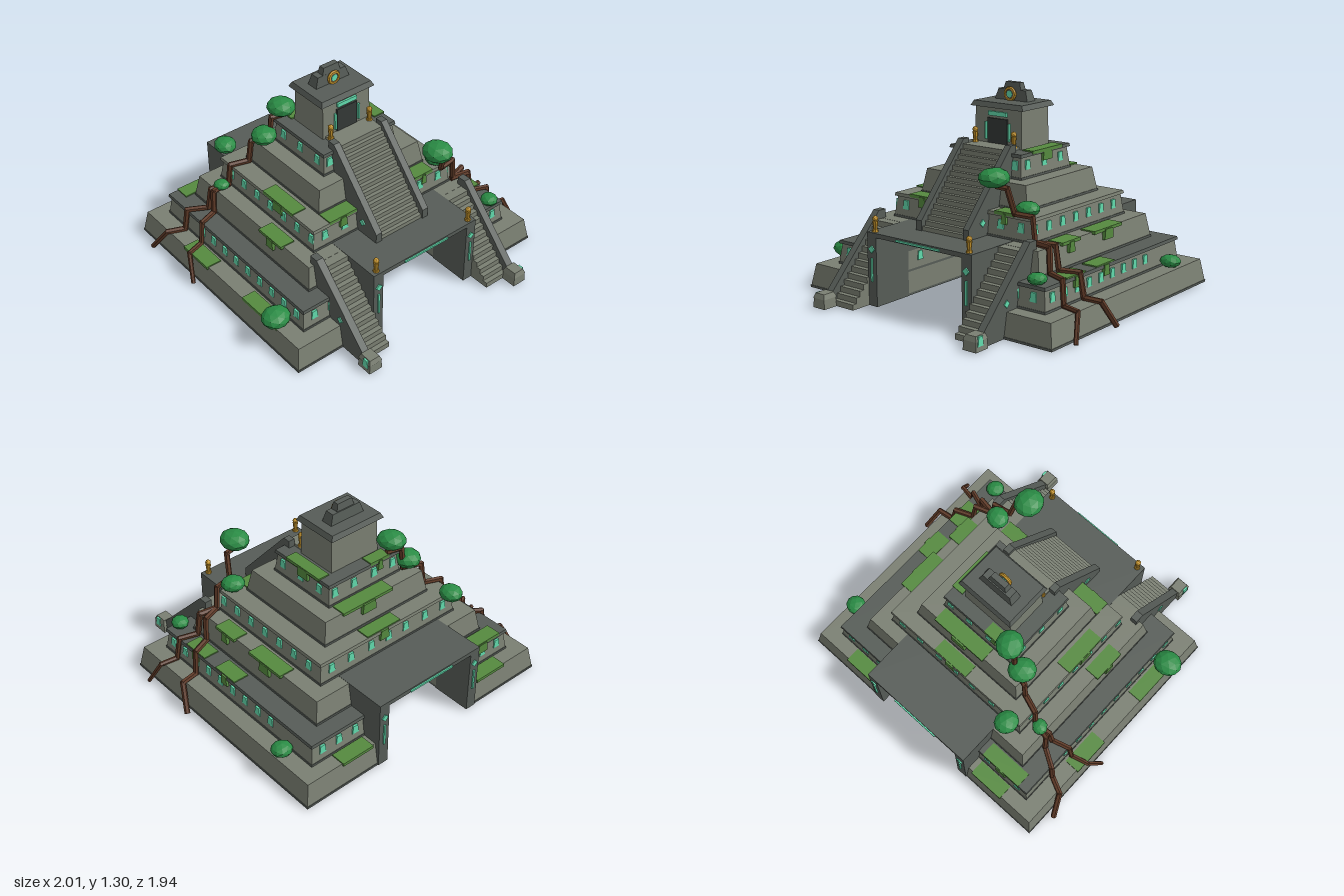
import * as THREE from 'three';

const mat = (color, o = {}) => new THREE.MeshStandardMaterial({ color, flatShading: true, ...o });
const stone = mat(0x7a7f72), dark = mat(0x565c57), black = mat(0x343937), teal = mat(0x62dcae),
  moss = mat(0x558a3f), leaf = mat(0x2a8c45), bark = mat(0x5f3a27), gold = mat(0xc8962c);

export function createModel() {
  const root = new THREE.Group();
  const group = (name, parent = root) => {
    const g = new THREE.Group();
    g.name = name;
    parent.add(g);
    return g;
  };
  const add = (name, geo, m, parent = root) => {
    const mesh = new THREE.Mesh(geo, m);
    mesh.name = name;
    parent.add(mesh);
    return mesh;
  };
  // Block given by its limits; the top edges move in by tx and tz (xIn = inset of the low-x side)
  const block = (name, x0, x1, y0, y1, z0, z1, m, parent, tx = 0, tz = tx, xIn = tx) => {
    const g = new THREE.BoxGeometry(1, 1, 1), p = g.attributes.position;
    for (let i = 0; i < p.count; i++) {
      const t = p.getY(i) > 0 ? 1 : 0;
      p.setXYZ(i, p.getX(i) > 0 ? x1 - tx * t : x0 + xIn * t, t ? y1 : y0,
        p.getZ(i) > 0 ? z1 - tz * t : z0 + tz * t);
    }
    g.computeVertexNormals();
    return add(name, g, m, parent);
  };
  const mirrored = (fn) => [1, -1].forEach((s) => fn(s));
  const span = (s, a, b) => (s > 0 ? [a, b] : [-b, -a]);

  // Tiers: [half width, back z, front z]; the lower three are split by the passage
  const H = 0.152, GAP = 0.337;
  const tiers = [[0.945, -0.96, 0.7], [0.81, -0.84, 0.58], [0.675, -0.725, 0.46],
    [0.545, -0.61, 0.345], [0.415, -0.5, 0.235], [0.285, -0.385, 0.12]];
  const layer = (name, w, y0, y1, z0, z1, m, t, split, parent) => {
    if (!split) return block(name, -w, w, y0, y1, z0, z1, m, parent, t);
    mirrored((s) => s > 0 ? block(name, GAP, w, y0, y1, z0, z1, m, parent, t, t, 0)
      : block(name, -w, -GAP, y0, y1, z0, z1, m, parent, 0, t, t));
  };
  tiers.forEach(([w, z0, z1], i) => {
    const g = group('tier' + (i + 1)), y = i * H, split = i < 3, win = i % 2;
    const t = win ? 0.016 : 0.024;
    layer('plinth', w, y, y + 0.014, z0, z1, dark, 0, split, g);
    layer('wall', w - 0.004, y + 0.014, y + H - (win ? 0.02 : 0), z0 + 0.004, z1 - 0.004, stone, t, split, g);
    if (win) layer('cornice', w - 0.004, y + H - 0.02, y + H, z0 + 0.004, z1 - 0.004, i === 3 ? stone : dark, 0.004, split, g);
  });

  // Glowing windows on every second tier
  const windows = group('windows');
  const pane = (x, y, z, alongZ) => {
    const a = alongZ ? 0.007 : 0.024, b = alongZ ? 0.024 : 0.007;
    block('window', x - a, x + a, y - 0.028, y + 0.028, z - b, z + b, teal, windows,
      alongZ ? 0 : 0.007, alongZ ? 0.007 : 0);
  };
  const rows = [[1, 9, 0.5, -0.12, [0.47, 0.595, 0.72]], [3, 7, 0.31, -0.134, [0, 0.14, 0.3, 0.45]],
    [5, 3, 0.045, -0.165, [0.08, 0.23]]];
  rows.forEach(([i, n, start, step, xs]) => {
    const [w, z0, z1] = tiers[i], y = i * H + 0.083;
    mirrored((s) => {
      for (let k = 0; k < n; k++) pane(s * (w - 0.012), y, start + k * step, true);
      xs.forEach((x) => {
        pane(s * x, y, z0 + 0.012, false);
        if (x > 0.2) pane(s * x, y, z1 - 0.012, false);
      });
    });
  });
  mirrored((s) => [-0.5, -0.22, 0.06, 0.34].forEach((z) => pane(s * GAP, 0.24, z, true)));

  // Passage: piers at both ends and the slab over it
  const gate = group('gateway');
  block('ceilingSlab', -0.405, 0.405, 0.43, 0.458, -0.965, 0.73, dark, gate);
  const diamond = (x, y, z, side) => {
    const d = add('diamond', new THREE.BoxGeometry(0.034, 0.034, 0.012), teal, gate);
    d.position.set(x, y, z);
    d.rotation.order = 'YXZ';
    d.rotation.set(0, side ? Math.PI / 2 : 0, Math.PI / 4);
  };
  mirrored((s) => {
    const [a, b] = span(s, 0.333, 0.405), [c, d] = span(s, 0.362, 0.375);
    block('frontPier', a, b, 0, 0.44, 0.45, 0.73, dark, gate);
    block('backPier', a, b, 0, 0.44, -0.965, -0.7, dark, gate);
    [0.732, -0.967].forEach((z) => {
      block('lightBar', c, d, 0.155, 0.3, z - 0.007, z + 0.007, teal, gate);
      diamond(s * 0.368, 0.355, z);
    });
    diamond(s * 0.612, 0.2, 0.675, true);
    diamond(s * 0.207, 0.54, 0.39, true);
  });
  [0.732, -0.967].forEach((z) => block('lintelLight', -0.17, 0.17, 0.436, 0.448, z - 0.007, z + 0.007, teal, gate));

  // Stairs and sloping side walls
  const stairs = (name, x0, x1, y0, y1, zTop, zBottom, n, parent) => {
    for (let i = 0; i < n; i++) {
      block(name, x0, x1, y0, y0 + (y1 - y0) * (i + 1) / n, zTop - 0.06,
        zBottom - (zBottom - zTop) * i / n, stone, parent);
    }
  };
  // Profile points are [z, y], extruded along x
  const slopeWall = (name, x0, x1, pts, parent) => {
    const g = new THREE.ExtrudeGeometry(new THREE.Shape(pts.map(([z, y]) => new THREE.Vector2(-z, y))),
      { depth: x1 - x0, bevelEnabled: false });
    add(name, g.rotateY(Math.PI / 2).translate(x0, 0, 0), dark, parent);
  };
  const sideStairs = group('sideStairs'), mainStairs = group('mainStairs');
  mirrored((s) => {
    const [a, b] = span(s, 0.4, 0.567), [c, d] = span(s, 0.565, 0.612), [e, f] = span(s, 0.54, 0.635);
    stairs('sideStep', a, b, 0, 0.455, 0.46, 0.87, 13, sideStairs);
    slopeWall('sideBalustrade', c, d, [[0.4, 0], [0.9, 0], [0.9, 0.06], [0.46, 0.51], [0.4, 0.51]], sideStairs);
    block('pedestal', e, f, 0, 0.06, 0.865, 0.97, stone, sideStairs, 0.004);
    block('pedestalCap', e, f, 0.06, 0.09, 0.865, 0.97, stone, sideStairs, 0.012);
    pane(s * 0.63, 0.058, 0.93, true);
    const [h, k] = span(s, 0.162, 0.206);
    slopeWall('mainBalustrade', h, k, [[0.06, 0.455], [0.515, 0.455], [0.515, 0.52], [0.12, 0.96], [0.07, 0.96]], mainStairs);
  });
  stairs('mainStep', -0.165, 0.165, 0.455, 0.93, 0.1, 0.505, 16, mainStairs);
  block('landing', -0.165, 0.165, 0.9, 0.93, -0.01, 0.1, stone, mainStairs);

  // Temple with roof crest and sun disc
  const temple = group('temple');
  block('templeWall', -0.183, 0.183, 0.91, 1.15, -0.29, -0.012, stone, temple, 0.006);
  block('doorway', -0.077, 0.077, 0.92, 1.085, -0.03, -0.006, black, temple);
  block('doorLight', -0.072, 0.072, 1.1, 1.127, -0.03, -0.004, teal, temple);
  mirrored((s) => {
    const [a, b] = span(s, 0.084, 0.096);
    block('doorJambLight', a, b, 0.95, 1.06, -0.03, -0.002, teal, temple);
  });
  block('roof', -0.203, 0.203, 1.15, 1.182, -0.317, 0.005, dark, temple, 0.016);
  block('crestBase', -0.127, 0.127, 1.18, 1.248, -0.222, -0.142, dark, temple, 0.022, 0.01);
  block('crestTop', -0.067, 0.067, 1.245, 1.293, -0.205, -0.152, dark, temple, 0.012, 0.008);
  add('discRing', new THREE.TorusGeometry(0.036, 0.011, 6, 16), gold, temple).position.set(0, 1.222, -0.133);
  const disc = add('disc', new THREE.CylinderGeometry(0.034, 0.034, 0.014, 16), dark, temple);
  const gem = add('discGem', new THREE.CylinderGeometry(0.021, 0.021, 0.02, 12), teal, temple);
  [disc, gem].forEach((m) => { m.rotation.x = Math.PI / 2; m.position.set(0, 1.222, -0.135); });

  // Golden guardian figures
  mirrored((s) => [[0.15, 0.925, 0.022], [0.365, 0.456, 0.7]].forEach(([x, y, z]) => {
    const g = group('guardian');
    g.position.set(s * x, y, z);
    add('base', new THREE.CylinderGeometry(0.018, 0.02, 0.015, 8), gold, g).position.y = 0.008;
    add('body', new THREE.CylinderGeometry(0.018, 0.012, 0.055, 8), gold, g).position.y = 0.042;
    add('head', new THREE.IcosahedronGeometry(0.018, 1), gold, g).position.y = 0.083;
  }));

  // Moss patches: [tier, x0, x1, z0, z1], each with a fringe hanging over the tier edge
  const mossy = group('moss');
  [[0, -0.68, -0.44, -0.945, -0.845], [0, 0.43, 0.66, -0.945, -0.845], [1, -0.735, -0.44, -0.835, -0.735],
    [0, -0.93, -0.825, -0.49, -0.235], [0, -0.92, -0.825, 0.12, 0.46], [2, -0.67, -0.57, -0.03, 0.19],
    [3, -0.54, -0.44, -0.155, 0.14], [3, -0.09, 0.17, -0.6, -0.51], [4, -0.13, 0.26, -0.49, -0.39],
    [5, -0.2, -0.05, -0.38, -0.3], [5, 0.205, 0.285, -0.295, 0.005], [2, 0.565, 0.67, -0.395, -0.1],
    [2, 0.565, 0.67, 0.045, 0.225], [1, 0.695, 0.8, -0.12, 0.065], [1, 0.695, 0.8, 0.175, 0.36],
    [3, -0.415, -0.21, 0.24, 0.34], [3, 0.255, 0.4, 0.24, 0.34]].forEach(([i, x0, x1, z0, z1]) => {
    const y = (i + 1) * H, xm = (x0 + x1) / 2, zm = (z0 + z1) / 2;
    block('mossPatch', x0, x1, y - 0.012, y + 0.008, z0, z1, moss, mossy);
    if (i === 0) return;
    if (x1 - x0 < z1 - z0) {
      const e = Math.sign(xm) * (tiers[i][0] - 0.011), l = (z1 - z0) * 0.16;
      block('mossFringe', e - 0.012, e + 0.012, y - 0.065, y, zm - l, zm + l, moss, mossy, 0, 0.008);
    } else {
      const e = zm < 0 ? tiers[i][1] + 0.011 : tiers[i][2] - 0.011, l = (x1 - x0) * 0.14;
      block('mossFringe', xm - l, xm + l, y - 0.065, y, e - 0.012, e + 0.012, moss, mossy, 0.008, 0);
    }
  });

  // Bushes: [x, y, z, radius]
  const bushes = group('bushes');
  [[0.87, 0.195, -0.645, 0.068], [-0.47, 0.65, -0.645, 0.078], [-0.61, 0.49, -0.5, 0.052],
    [-0.355, 0.82, -0.38, 0.088], [-0.235, 0.995, -0.355, 0.093], [-0.89, 0.205, 0.42, 0.093],
    [0.335, 0.84, 0.44, 0.1], [0.47, 0.65, 0.295, 0.077], [0.72, 0.335, 0.535, 0.06]].forEach(([x, y, z, r], i) => {
    const b = add('bush', new THREE.IcosahedronGeometry(r, 1), leaf, bushes);
    b.position.set(x, y, z);
    b.scale.set(1, 0.6, 0.92);
    b.rotation.y = i * 1.3;
  });

  // Roots stepping down the tiers, as tapered six-sided segments
  const roots = group('roots');
  const creeper = (pts, r0, r1) => {
    const v = pts.map((p) => new THREE.Vector3(...p)), n = v.length - 1;
    for (let i = 0; i < n; i++) {
      const d = v[i + 1].clone().sub(v[i]), R = (k) => r0 + (r1 - r0) * k / n;
      const m = add('root', new THREE.CylinderGeometry(R(i + 1), R(i), d.length() + 0.015, 6), bark, roots);
      m.position.copy(v[i]).addScaledVector(d, 0.5);
      m.quaternion.setFromUnitVectors(new THREE.Vector3(0, 1, 0), d.normalize());
    }
  };
  creeper([[-0.2, 0.925, -0.36], [-0.295, 0.925, -0.38], [-0.305, 0.78, -0.39], [-0.42, 0.775, -0.43], [-0.435, 0.63, -0.44],
    [-0.55, 0.625, -0.48], [-0.565, 0.475, -0.49], [-0.68, 0.475, -0.52], [-0.695, 0.325, -0.54],
    [-0.81, 0.32, -0.61], [-0.83, 0.17, -0.62], [-0.935, 0.165, -0.67], [-0.985, 0.01, -0.775]], 0.018, 0.018);
  creeper([[-0.61, 0.475, -0.5], [-0.68, 0.475, -0.49], [-0.695, 0.325, -0.48], [-0.81, 0.32, -0.445],
    [-0.83, 0.17, -0.44], [-0.94, 0.165, -0.41], [-0.985, 0.01, -0.32]], 0.02, 0.014);
  creeper([[0.35, 0.79, 0.43], [0.415, 0.785, 0.42], [0.435, 0.63, 0.375], [0.55, 0.625, 0.355], [0.565, 0.475, 0.35],
    [0.68, 0.475, 0.31], [0.695, 0.325, 0.295], [0.81, 0.32, 0.25], [0.83, 0.17, 0.235],
    [0.94, 0.165, 0.22], [0.985, 0.01, 0.13]], 0.018, 0.018);
  creeper([[0.56, 0.475, 0.35], [0.68, 0.475, 0.37], [0.695, 0.325, 0.38], [0.81, 0.32, 0.42],
    [0.83, 0.17, 0.43], [0.94, 0.165, 0.45], [0.985, 0.01, 0.53]], 0.02, 0.014);

  return root;
}
